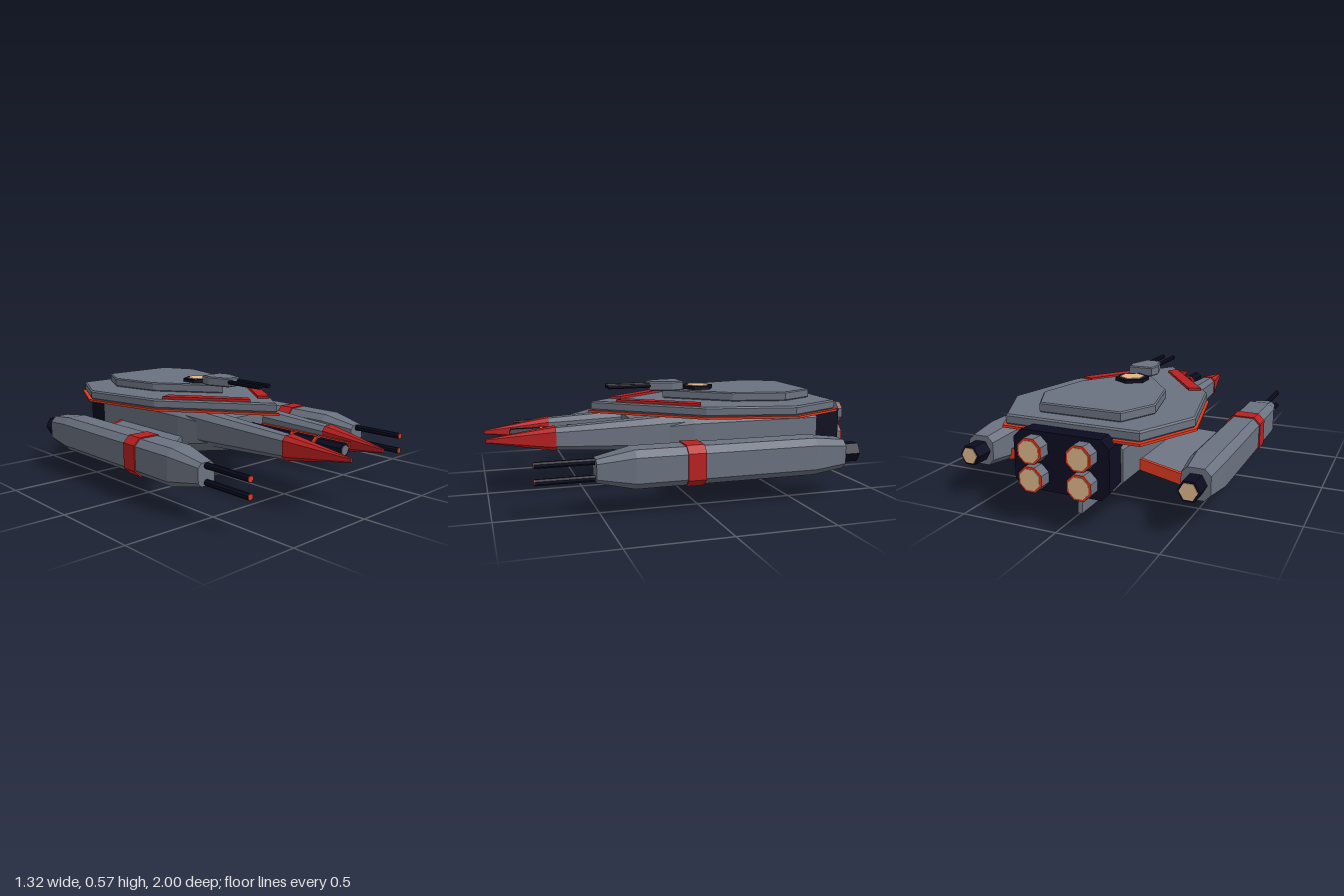
import * as THREE from 'three';

const mat = (name, color, extra = {}) => {
  const m = new THREE.MeshStandardMaterial({ color, flatShading: true, ...extra });
  m.name = name;
  return m;
};

export function createModel() {
  const root = new THREE.Group();
  root.name = 'spaceship';
  const grey = mat('hull grey', 0x6b7280);
  const red = mat('marking red', 0xb92020);
  const trim = mat('trim orange red', 0xdc3a20);
  const dark = mat('dark navy', 0x0c0c22);
  const glow = mat('engine tan', 0xe0b78c);

  const add = (name, geo, material, x = 0, y = 0, z = 0, parent = root) => {
    const m = new THREE.Mesh(geo, material);
    m.name = name;
    m.position.set(x, y, z);
    parent.add(m);
    return m;
  };

  // Lofts chamfered rectangles along z; section = [z, cx, cy, halfX, halfY, chamfer]
  const loft = (sections) => {
    const rings = sections.map(([z, cx, cy, a, b, c]) => [
      [-a + c, -b], [a - c, -b], [a, -b + c], [a, b - c],
      [a - c, b], [-a + c, b], [-a, b - c], [-a, -b + c],
    ].map(([x, y]) => [cx + x, cy + y, z]));
    const p = [];
    const tri = (...v) => v.forEach((q) => p.push(...q));
    for (let k = 0; k < rings.length - 1; k++) {
      for (let i = 0; i < 8; i++) {
        const j = (i + 1) % 8, r = rings[k], s = rings[k + 1];
        tri(r[i], r[j], s[j]);
        tri(r[i], s[j], s[i]);
      }
    }
    const first = rings[0], last = rings[rings.length - 1];
    for (let i = 1; i < 7; i++) {
      tri(first[0], first[i + 1], first[i]);
      tri(last[0], last[i], last[i + 1]);
    }
    const g = new THREE.BufferGeometry();
    g.setAttribute('position', new THREE.Float32BufferAttribute(p, 3));
    g.computeVertexNormals();
    return g;
  };

  // Horizontal plate from an x/z outline, between two heights
  const plate = (pts, y0, y1, bevel = 0) => {
    const shape = new THREE.Shape(pts.map(([x, z]) => new THREE.Vector2(x, z)));
    const g = new THREE.ExtrudeGeometry(shape, {
      depth: y1 - y0 - 2 * bevel, bevelEnabled: bevel > 0, bevelSize: bevel,
      bevelThickness: bevel, bevelOffset: -bevel, bevelSegments: 1,
    });
    return g.rotateX(Math.PI / 2).translate(0, y1 - bevel, 0);
  };
  const mirrored = (half) => [...half, ...half.filter(([x]) => x > 0).reverse().map(([x, z]) => [-x, z])];

  // Cylinder lying along z between two depths
  const rod = (r, z0, z1, sides = 8) => new THREE.CylinderGeometry(r, r, z1 - z0, sides)
    .rotateY(Math.PI / sides).rotateX(Math.PI / 2).translate(0, 0, (z0 + z1) / 2);

  // Main hull and ventral fin
  add('hull', loft([
    [-0.8, 0, 0.283, 0.24, 0.128, 0.05],
    [-0.07, 0, 0.283, 0.245, 0.128, 0.05],
    [0.25, 0, 0.3, 0.19, 0.085, 0.05],
  ]), grey);
  const finShape = new THREE.Shape([[0.15, 0.16], [0.56, 0.003], [0.775, 0.003], [0.75, 0.17]]
    .map(([x, y]) => new THREE.Vector2(x, y)));
  add('ventralFin', new THREE.ExtrudeGeometry(finShape, { depth: 0.024, bevelEnabled: false })
    .translate(0, 0, -0.012).rotateY(Math.PI / 2), grey);

  // Layered deck
  const scaled = (k, dz) => mirrored([[0, 0.455], [0.4, -0.08], [0.5, -0.55], [0.35, -0.86]]
    .map(([x, z]) => [x * k, z * k + dz]));
  add('deckTrim', plate(scaled(1, 0), 0.41, 0.422), trim);
  add('deck', plate(scaled(0.975, -0.005), 0.422, 0.472, 0.008), grey);
  add('upperDeck', plate(scaled(0.6, -0.24), 0.472, 0.52, 0.006), grey);
  for (const s of [-1, 1]) {
    const pts = [[0.29, -0.09], [0.35, -0.065], [0.07, 0.315], [0.035, 0.265]].map(([x, z]) => [s * x, z]);
    add('deckStripe', plate(pts, 0.472, 0.485), red);
  }

  // Hatch and turret
  add('hatchRim', new THREE.CylinderGeometry(0.09, 0.09, 0.02, 6), dark, 0, 0.528, -0.17);
  add('hatchLight', new THREE.CylinderGeometry(0.066, 0.066, 0.006, 6), glow, 0, 0.539, -0.17);
  add('turret', plate(mirrored([[0.042, 0.12], [0.08, 0], [0.065, -0.065]]), 0.52, 0.57, 0.006), grey);

  // Central cannon
  add('cannon', rod(0.035, 0.2, 0.87), dark, 0, 0.31);
  add('cannonMuzzle', rod(0.026, 0.868, 0.874), grey, 0, 0.31);
  for (const z of [0.56, 0.71]) add('cannonRing', rod(0.043, z - 0.009, z + 0.009), trim, 0, 0.31);

  // Rear engine block
  add('engineBlock', loft([
    [-0.935, 0, 0.305, 0.24, 0.14, 0.04],
    [-0.75, 0, 0.305, 0.225, 0.135, 0.04],
  ]), dark);

  for (const s of [-1, 1]) {
    const side = new THREE.Group();
    side.name = s > 0 ? 'leftSide' : 'rightSide';
    root.add(side);
    const put = (name, geo, m, x = 0, y = 0, z = 0) => add(name, geo, m, s * x, y, z, side);

    // Main thrusters
    for (const y of [0.235, 0.367]) {
      put('thruster', rod(0.064, -0.99, -0.92), grey, 0.122, y);
      put('thrusterRim', rod(0.064, -0.997, -0.99), trim, 0.122, y);
      put('thrusterGlow', rod(0.053, -1, -0.994), glow, 0.122, y);
    }

    // Forward prong with red tip and inner strip
    put('prong', loft([
      [-0.05, s * 0.155, 0.31, 0.07, 0.097, 0.035],
      [0.2, s * 0.155, 0.31, 0.063, 0.082, 0.03],
      [0.66, s * 0.149, 0.31, 0.044, 0.058, 0.022],
    ]), grey);
    put('prongTip', loft([
      [0.655, s * 0.149, 0.31, 0.049, 0.062, 0.022],
      [1, s * 0.122, 0.31, 0.007, 0.01, 0.003],
    ]), red);
    put('prongStrip', new THREE.BoxGeometry(0.012, 0.035, 0.63), trim, 0.09, 0.31, 0.515);

    // Turret gun
    put('turretGun', rod(0.012, 0.1, 0.35), dark, 0.033, 0.548);

    // Pylon wing, dropping and widening outward
    const wing = (z0, z1In, z1Out, h) => {
      const g = new THREE.BoxGeometry(1, 1, 1);
      const p = g.attributes.position;
      for (let i = 0; i < p.count; i++) {
        const t = 0.5 + s * p.getX(i);
        const front = z1In + (z1Out - z1In) * t;
        p.setXYZ(i, s * (0.2 + 0.3 * t), 0.238 - 0.062 * t + p.getY(i) * h, p.getZ(i) > 0 ? front : z0);
      }
      g.computeVertexNormals();
      return g;
    };
    put('wing', wing(-0.6, -0.06, 0.09, 0.05), grey);
    put('wingTrim', wing(-0.615, -0.595, -0.595, 0.056), trim);

    // Nacelle
    const nx = s * 0.566, ny = 0.234;
    put('nacelle', loft([
      [-0.75, nx, ny, 0.07, 0.075, 0.03],
      [-0.58, nx, ny, 0.086, 0.094, 0.033],
      [0.35, nx, ny, 0.086, 0.094, 0.033],
      [0.53, nx, ny, 0.05, 0.056, 0.02],
    ]), grey);
    put('nacelleBand', loft([
      [0.01, nx, ny, 0.092, 0.1, 0.035],
      [0.1, nx, ny, 0.092, 0.1, 0.035],
    ]), red);
    put('nacelleEngine', rod(0.054, -0.843, -0.74, 6), dark, 0.566, ny);
    put('nacelleGlow', rod(0.043, -0.847, -0.841, 6), glow, 0.566, ny);
    for (const y of [0.194, 0.274]) {
      put('nacelleGun', rod(0.016, 0.5, 0.808), dark, 0.566, y);
      put('nacelleGunMuzzle', rod(0.015, 0.806, 0.812), trim, 0.566, y);
    }
  }
  return root;
}
